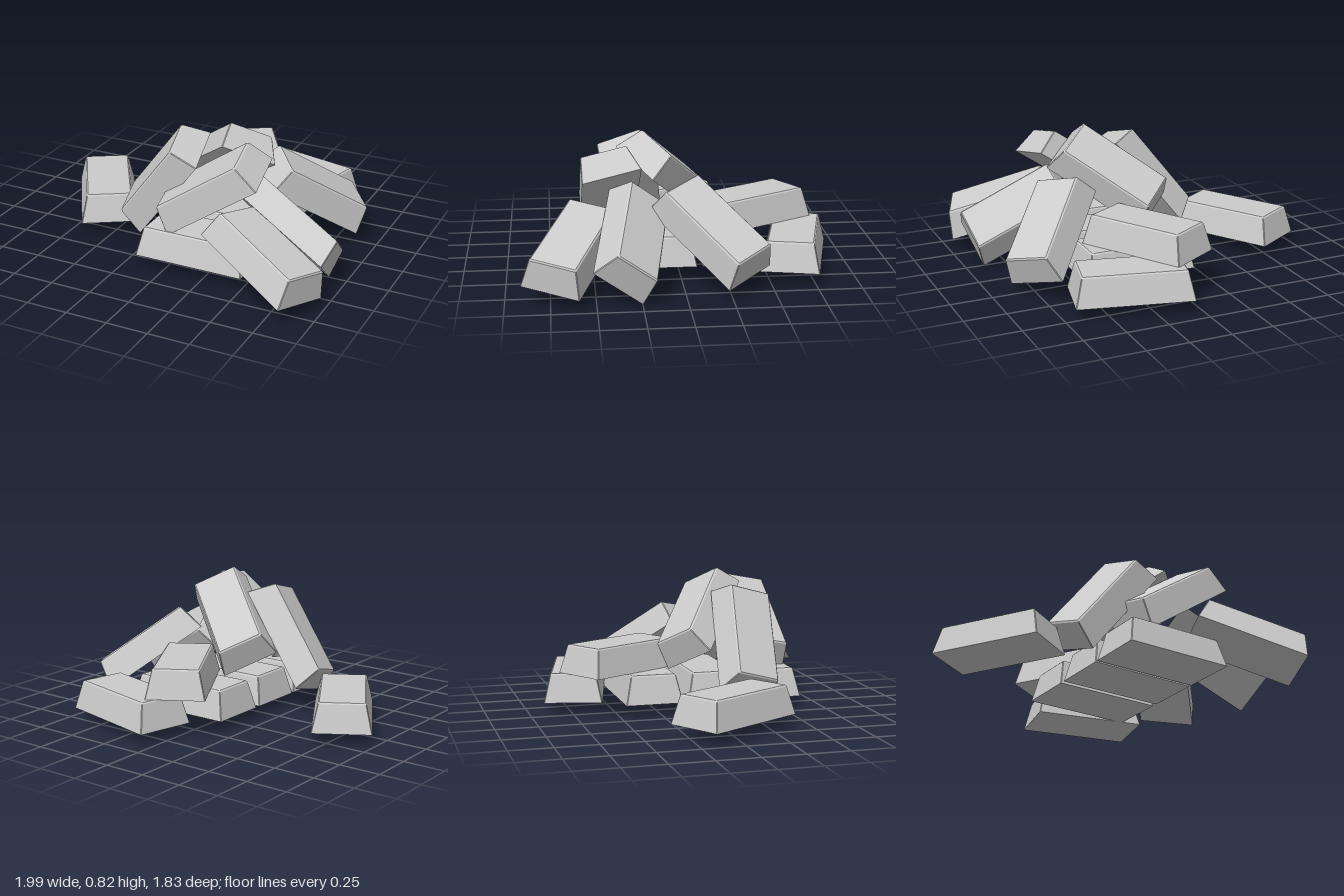
import * as THREE from 'three';
import { ConvexGeometry } from 'three/addons/geometries/ConvexGeometry.js';

const LENGTH = 0.67, WIDTH = 0.345, HEIGHT = 0.17, INSET = 0.04, BEVEL = 0.008;

// Tapered ingot standing on y = 0, long side along x, narrow bevel round the top
function ingotGeometry() {
  const points = [];
  const ring = (y, inset, cut) => {
    const x = LENGTH / 2 - inset, z = WIDTH / 2 - inset;
    for (const sx of [-1, 1]) for (const sz of [-1, 1]) {
      points.push(new THREE.Vector3(sx * (x - cut), y, sz * z));
      points.push(new THREE.Vector3(sx * x, y, sz * (z - cut)));
    }
  };
  ring(0, 0, 0.004);
  ring(HEIGHT - BEVEL, INSET - 0.004, 0.004);
  ring(HEIGHT, INSET + 0.004, 0.004);
  return new ConvexGeometry(points);
}

export function createModel() {
  const group = new THREE.Group();
  const geometry = ingotGeometry();
  const material = new THREE.MeshStandardMaterial({ color: 0xcccccc, flatShading: true });

  // base: centre of the underside, along: long axis, up: direction of the narrow face
  const addIngot = (name, base, along, up = [0, 1, 0]) => {
    const u = new THREE.Vector3(...along).normalize();
    const n = new THREE.Vector3(...up);
    n.addScaledVector(u, -n.dot(u)).normalize();
    const w = new THREE.Vector3().crossVectors(u, n);
    const mesh = new THREE.Mesh(geometry, material);
    mesh.name = name;
    mesh.quaternion.setFromRotationMatrix(new THREE.Matrix4().makeBasis(u, n, w));
    mesh.position.set(...base);
    group.add(mesh);
  };

  // Bottom row of three parallel ingots
  [-0.295, 0.08, 0.44].forEach((z, i) => addIngot(`rowIngot${i + 1}`, [0.165, 0.07, z], [1, 0, 0]));

  // Loose ingots lying flat
  addIngot('looseRightIngot', [-0.68, 0.075, 0.03], [0.52, 0, 0.855]);
  addIngot('looseBackIngot', [0.33, 0.07, -0.675], [0.973, 0, 0.231]);
  addIngot('upperBackIngot', [0.127, 0.24, -0.44], [0.51, 0, 0.86]);

  // Ingots leaning on the heap
  addIngot('frontLeaningIngot', [0.625, 0.19, 0.623], [0.59, -0.21, 0.265], [0.343, 0.939, -0.018]);
  addIngot('sideLeaningIngot', [0.623, 0.252, 0.324], [0.873, -0.453, 0.176], [0.462, 0.663, -0.587]);
  addIngot('backLeaningIngot', [0.582, 0.272, -0.148], [0.565, -0.54, -0.623], [0.53, 0.817, -0.228]);
  addIngot('rightLeaningIngot', [-0.097, 0.391, 0.247], [0.61, 0.785, 0.1], [-0.77, 0.56, 0.31]);
  addIngot('topFrontIngot', [0.264, 0.438, 0.394], [0.823, 0.568, 0], [-0.557, 0.8, 0.24]);
  addIngot('topBackIngot', [0.15, 0.486, 0.098], [0.695, 0.525, 0.483], [-0.099, 0.737, -0.66]);

  return group;
}
